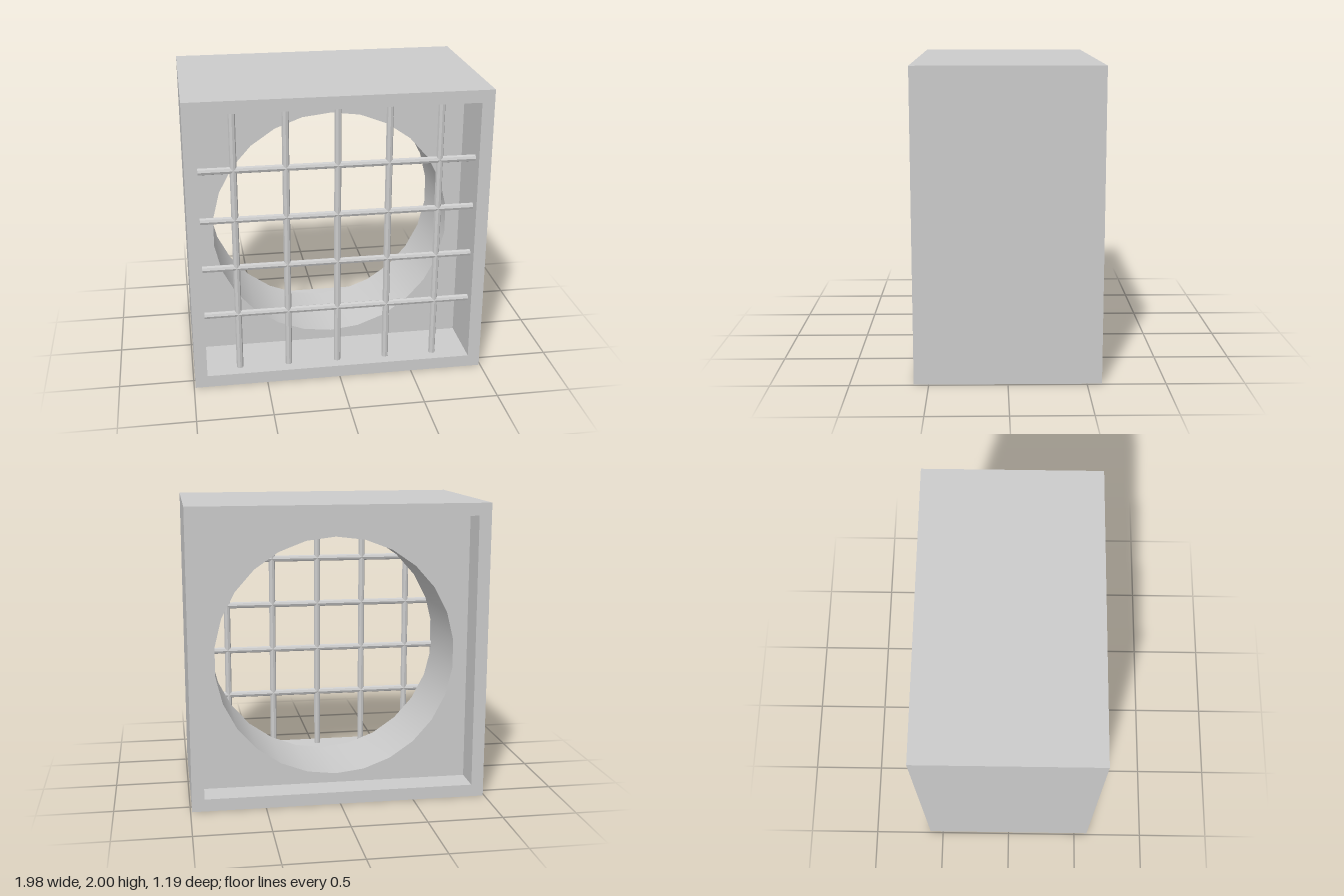
import * as THREE from 'three';
import { toCreasedNormals } from 'three/addons/utils/BufferGeometryUtils.js';

const W = 1.98, H = 2, D = 1.19, WALL = 0.083;
const FRONT_RECESS = 0.4, BACK_RECESS = 0.2;
const HOLE_R = 0.815, HOLE_Y = 0.96, HOLE_SIDES = 26;
const BAR_R = 0.023, BAR_Z = 0.5;

export function createModel() {
  const group = new THREE.Group();
  const grey = new THREE.MeshStandardMaterial({ color: 0xcccccc });
  const barGrey = new THREE.MeshStandardMaterial({ color: 0xcccccc, flatShading: true });

  const add = (name, geometry, material, x, y, z) => {
    const mesh = new THREE.Mesh(geometry, material);
    mesh.name = name;
    mesh.position.set(x, y, z);
    group.add(mesh);
    return mesh;
  };

  // Corners of a rectangle centred at half height
  const rect = (w, h) => [[-1, -1], [1, -1], [1, 1], [-1, 1]]
    .map(([sx, sy]) => new THREE.Vector2(sx * w / 2, H / 2 + sy * h / 2));

  // Plate with one opening, extruded along z
  const pierced = (outer, hole, depth) => {
    const shape = new THREE.Shape(outer);
    shape.holes.push(new THREE.Path(hole));
    return toCreasedNormals(new THREE.ExtrudeGeometry(shape, { depth, bevelEnabled: false }), 0.5);
  };

  // Outer casing: a square tube open at front and back
  const innerW = W - 2 * WALL, innerH = H - 2 * WALL;
  add('casing', pierced(rect(W, H), rect(innerW, innerH), D), grey, 0, 0, -D / 2);

  // Thick inner wall with the round duct, recessed on both sides
  const circle = [];
  for (let i = 0; i < HOLE_SIDES; i++) {
    const a = i / HOLE_SIDES * Math.PI * 2;
    circle.push(new THREE.Vector2(HOLE_R * Math.sin(a), HOLE_Y + HOLE_R * Math.cos(a)));
  }
  add('ductWall', pierced(rect(innerW, innerH), circle, D - FRONT_RECESS - BACK_RECESS),
    grey, 0, 0, -D / 2 + BACK_RECESS);

  // Grille across the front opening
  const upright = new THREE.CylinderGeometry(BAR_R, BAR_R, innerH, 8);
  const crossbar = new THREE.CylinderGeometry(BAR_R, BAR_R, innerW, 8).rotateZ(Math.PI / 2);
  for (let i = 0; i < 5; i++) {
    add('grilleUpright', upright, barGrey, -0.005 + (i - 2) * 0.337, H / 2, BAR_Z);
  }
  for (let i = 0; i < 4; i++) {
    add('grilleCrossbar', crossbar, barGrey, 0, 0.493 + i * 0.341, BAR_Z);
  }
  return group;
}
